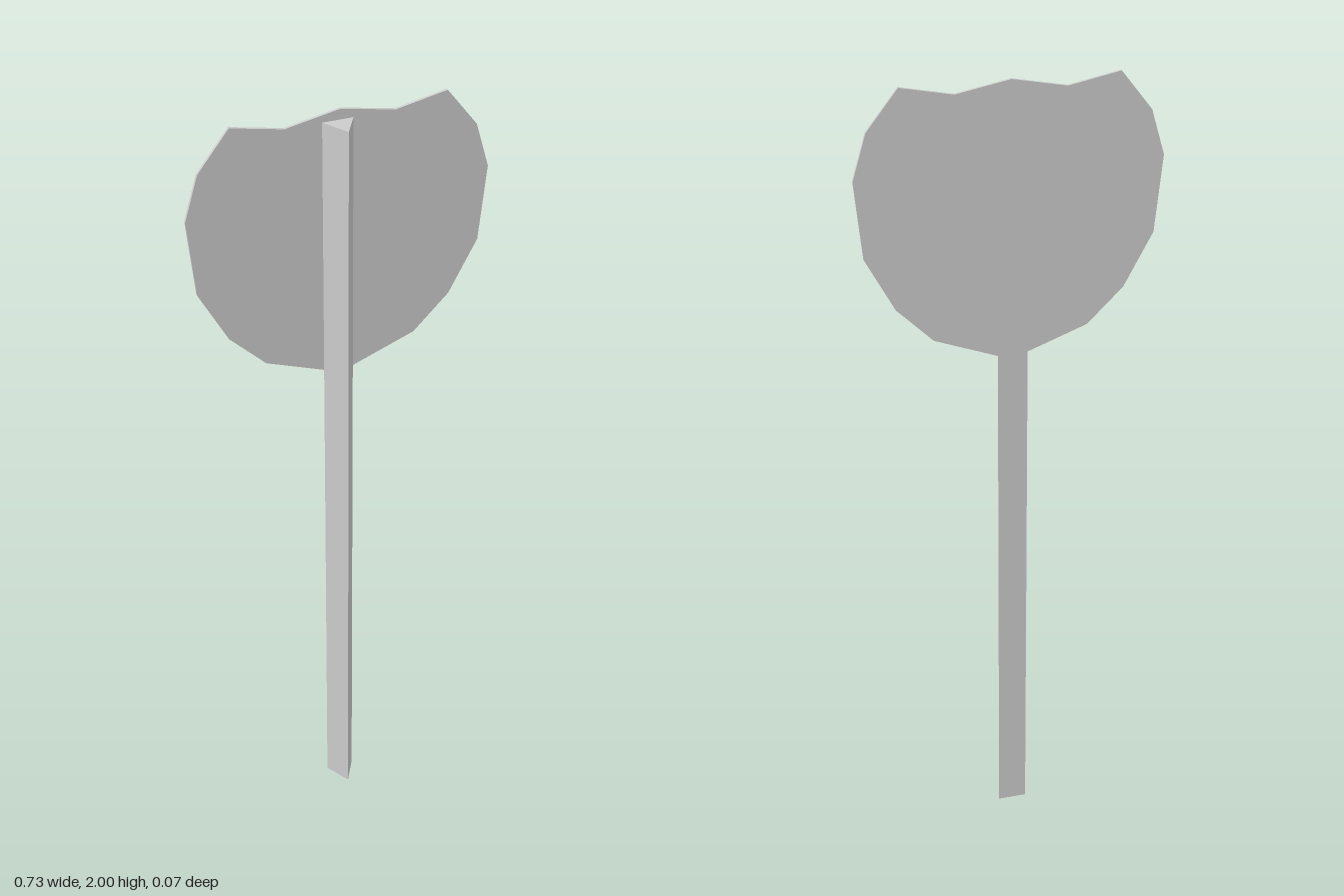
import * as THREE from 'three';

export function createModel() {
  const group = new THREE.Group();
  const material = new THREE.MeshStandardMaterial({ color: 0xcccccc, flatShading: true });

  // Three-sided pole, one edge facing forward
  const poleHeight = 1.975, poleRadius = 0.0423;
  const pole = new THREE.Mesh(
    new THREE.CylinderGeometry(poleRadius, poleRadius, poleHeight, 3), material);
  pole.name = 'pole';
  pole.position.set(-0.006, poleHeight / 2, -0.0085);
  group.add(pole);

  // Shield-shaped plate on the back of the pole: half outline, then mirrored
  const half = [
    [0.187, 1.39], [0.275, 1.477], [0.345, 1.608], [0.363, 1.795],
    [0.33, 1.905], [0.255, 2], [0.13, 1.975],
  ];
  const mirrored = half.map(([x, y]) => [-x, y]).reverse();
  const outline = [[0, 1.32], ...half, [0, 2], ...mirrored]
    .map(([x, y]) => new THREE.Vector2(x, y));
  const plate = new THREE.Mesh(
    new THREE.ExtrudeGeometry(new THREE.Shape(outline), { depth: 0.007, bevelEnabled: false }),
    material);
  plate.name = 'signPlate';
  plate.position.z = -0.037;
  group.add(plate);

  return group;
}
